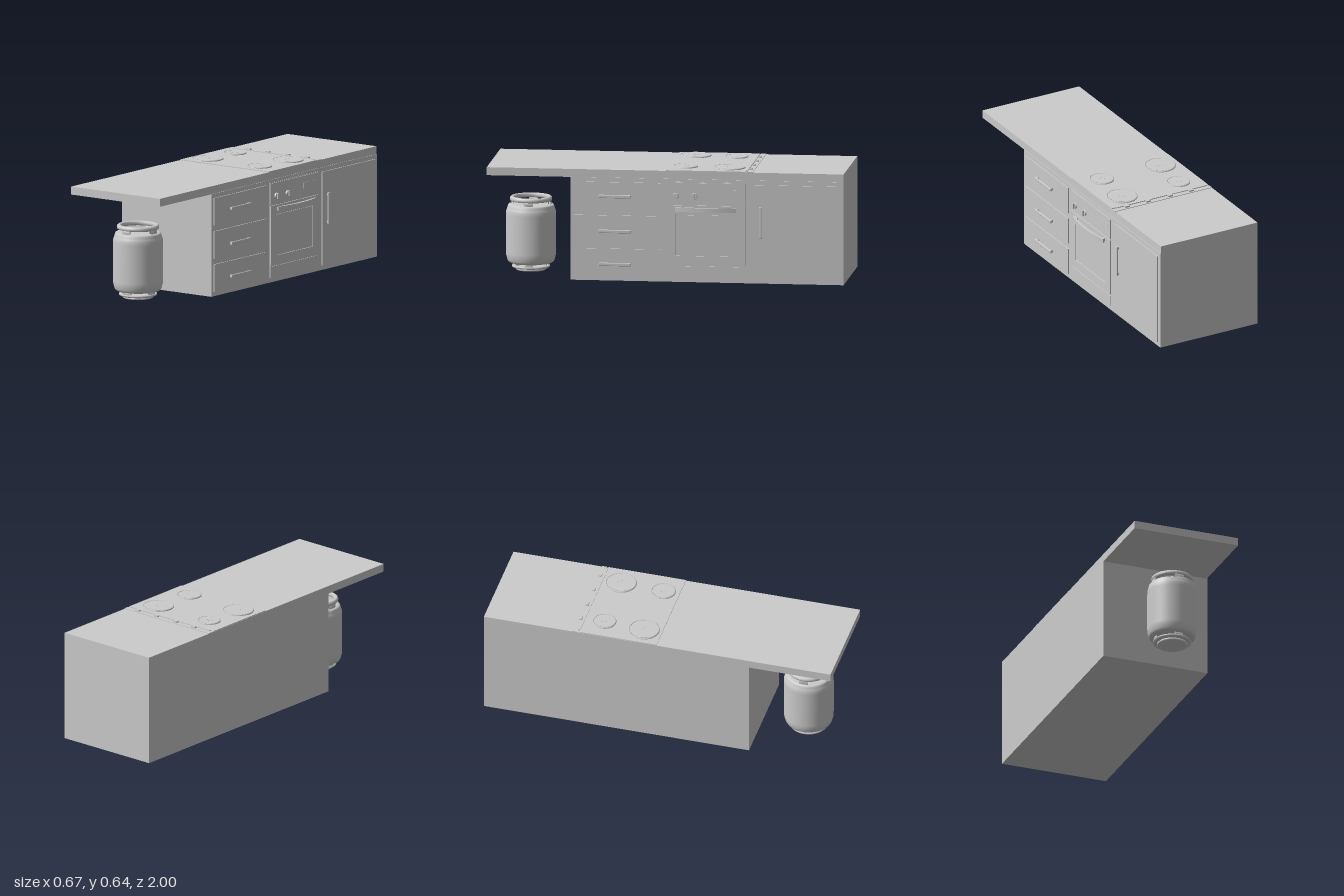
import * as THREE from 'three';
import { RoundedBoxGeometry } from 'three/addons/geometries/RoundedBoxGeometry.js';

const mat = new THREE.MeshStandardMaterial({ color: 0xcccccc, side: THREE.DoubleSide });

function add(parent, name, geo, x = 0, y = 0, z = 0) {
  const m = new THREE.Mesh(geo, mat);
  m.name = name;
  m.position.set(x, y, z);
  parent.add(m);
  return m;
}

// Box given by its limits on each axis
function block(parent, name, x0, x1, y0, y1, z0, z1) {
  return add(parent, name, new THREE.BoxGeometry(x1 - x0, y1 - y0, z1 - z0),
    (x0 + x1) / 2, (y0 + y1) / 2, (z0 + z1) / 2);
}

// Upright picture-frame slab facing +x, limits in z and y with a rectangular hole
function frame(parent, name, x0, x1, y0, y1, z0, z1, b) {
  const rect = (C, d) => {
    const s = new C();
    s.moveTo(-z1 + d, y0 + d);
    s.lineTo(-z0 - d, y0 + d);
    s.lineTo(-z0 - d, y1 - d);
    s.lineTo(-z1 + d, y1 - d);
    s.closePath();
    return s;
  };
  const s = rect(THREE.Shape, 0);
  s.holes.push(rect(THREE.Path, b));
  const g = new THREE.ExtrudeGeometry(s, { depth: x1 - x0, bevelEnabled: false });
  add(parent, name, g, x0).rotation.y = Math.PI / 2;
}

function lathe(parent, name, pts, seg = 48, start = 0, len = Math.PI * 2) {
  return add(parent, name, new THREE.LatheGeometry(pts.map(p => new THREE.Vector2(...p)), seg, start, len));
}

// Straight bar handle on two posts, lying along z or standing along y
function barHandle(parent, name, y, z, length, upright, reach) {
  const g = new THREE.Group();
  g.name = name;
  add(g, 'grip', new RoundedBoxGeometry(0.009, 0.018, length, 2, 0.003), reach - 0.0045);
  for (const s of [-1, 1])
    block(g, 'post', 0, reach - 0.005, -0.007, 0.007, s * (length / 2 - 0.012) - 0.006, s * (length / 2 - 0.012) + 0.006);
  g.position.set(0.292, y, z);
  if (upright) g.rotation.x = Math.PI / 2;
  parent.add(g);
}

function buildCabinet() {
  const g = new THREE.Group();
  g.name = 'cabinet';
  block(g, 'carcass', -0.335, 0.287, 0, 0.58, -1, 0.53);
  block(g, 'countertop', -0.335, 0.284, 0.579, 0.624, -1, 1);
  // Drawers
  [0.094, 0.28, 0.477].forEach((y, i) => {
    const y0 = 0.025 + i * 0.1875;
    block(g, 'drawerFront', 0.285, 0.293, y0, y0 + 0.155, 0.025, 0.51);
    barHandle(g, 'drawerHandle', y, 0.28, 0.18, false, 0.02);
  });
  // Cupboard door
  block(g, 'cupboardDoor', 0.285, 0.293, 0.025, 0.555, -0.975, -0.49);
  barHandle(g, 'doorHandle', 0.345, -0.537, 0.18, true, 0.015);
  return g;
}

function buildOven() {
  const g = new THREE.Group();
  g.name = 'oven';
  block(g, 'ovenBack', 0.284, 0.289, 0.025, 0.565, -0.46, -0.005);
  block(g, 'controlPanel', 0.285, 0.294, 0.44, 0.56, -0.45, -0.01);
  block(g, 'lowerDrawer', 0.285, 0.293, 0.03, 0.09, -0.45, -0.01);
  frame(g, 'ovenDoor', 0.285, 0.295, 0.098, 0.433, -0.45, -0.01, 0.05);
  block(g, 'ovenWindow', 0.285, 0.293, 0.153, 0.378, -0.395, -0.065);
  // Knobs with a raised grip
  for (const z of [-0.06, -0.165]) {
    add(g, 'ovenKnob', new THREE.CylinderGeometry(0.016, 0.018, 0.01, 24), 0.298, 0.485, z).rotation.z = -Math.PI / 2;
    block(g, 'knobGrip', 0.3, 0.311, 0.469, 0.501, z - 0.004, z + 0.004);
  }
  // Display outline
  block(g, 'displayTrim', 0.293, 0.296, 0.518, 0.522, -0.425, -0.31);
  block(g, 'displayTrim', 0.293, 0.296, 0.49, 0.52, -0.314, -0.31);
  // Bowed handle
  const s = new THREE.Shape();
  s.moveTo(0.312, 0.06);
  s.quadraticCurveTo(0.357, 0.23, 0.312, 0.40);
  s.lineTo(0.303, 0.40);
  s.quadraticCurveTo(0.335, 0.23, 0.303, 0.06);
  s.closePath();
  const geo = new THREE.ExtrudeGeometry(s, { depth: 0.025, bevelEnabled: false, curveSegments: 24 });
  add(g, 'ovenHandle', geo, 0, 0.4, 0).rotation.x = -Math.PI / 2;
  for (const z of [-0.08, -0.38]) block(g, 'handlePost', 0.29, 0.313, 0.404, 0.421, z - 0.012, z + 0.012);
  return g;
}

function buildCooktop() {
  const g = new THREE.Group();
  g.name = 'cooktop';
  block(g, 'cookingPlate', -0.333, 0.284, 0.62, 0.628, -0.45, -0.005);
  block(g, 'hingeStrip', -0.335, 0.285, 0.62, 0.627, -0.49, -0.46);
  block(g, 'backRail', -0.313, 0.26, 0.622, 0.631, -0.459, -0.449);
  for (const x of [-0.21, -0.076, 0.064, 0.2]) block(g, 'hinge', x - 0.014, x + 0.014, 0.625, 0.635, -0.48, -0.466);
  // Burners: rim, flat plate and a small mark of three studs
  for (const [x, z, r] of [[-0.205, -0.34, 0.066], [0.16, -0.345, 0.088], [-0.22, -0.108, 0.088], [0.148, -0.098, 0.07]]) {
    const b = new THREE.Group();
    b.name = 'burner';
    add(b, 'plate', new THREE.CylinderGeometry(r - 0.006, r - 0.006, 0.008, 48), 0, 0.63, 0);
    lathe(b, 'rim', [[r, 0.626], [r, 0.632], [r - 0.003, 0.635], [r - 0.007, 0.635], [r - 0.007, 0.626]]);
    for (let i = 0; i < 3; i++) {
      const a = i * Math.PI * 2 / 3;
      add(b, 'stud', new THREE.CylinderGeometry(0.003, 0.003, 0.002, 8), 0.014 * Math.cos(a), 0.6345, 0.014 * Math.sin(a));
    }
    b.position.set(x, 0, z);
    g.add(b);
  }
  return g;
}

function buildGasBottle() {
  const g = new THREE.Group();
  g.name = 'gasBottle';
  // Rounded vessel with a weld lip at each shoulder
  lathe(g, 'vessel', [[0, 0.032], [0.06, 0.034], [0.1, 0.039], [0.118, 0.043], [0.127, 0.048], [0.132, 0.058],
    [0.134, 0.068], [0.138, 0.082], [0.1385, 0.1], [0.1385, 0.315], [0.138, 0.333], [0.134, 0.346],
    [0.13, 0.354], [0.129, 0.364], [0.124, 0.37], [0.112, 0.372], [0.06, 0.374], [0, 0.375]], 64);
  // Carrying collar on top and foot ring below
  lathe(g, 'collarRing', [[0.1, 0.39], [0.112, 0.39], [0.117, 0.394], [0.118, 0.402], [0.116, 0.41],
    [0.11, 0.415], [0.1, 0.415], [0.094, 0.41], [0.093, 0.397], [0.1, 0.39]], 64);
  lathe(g, 'footRing', [[0.085, 0.013], [0.1, 0.014], [0.106, 0.018], [0.107, 0.024], [0.103, 0.028],
    [0.09, 0.028], [0.085, 0.024], [0.085, 0.013]], 64);
  lathe(g, 'foot', [[0, 0.001], [0.08, 0], [0.085, 0.003], [0.085, 0.01], [0.08, 0.015], [0, 0.015]]);
  // Curved supports at the four quarters
  for (let i = 0; i < 4; i++) {
    const a = i * Math.PI / 2;
    lathe(g, 'collarSupport', [[0.1, 0.365], [0.114, 0.365], [0.114, 0.395], [0.1, 0.395], [0.1, 0.365]], 8, a - 0.23, 0.46);
    lathe(g, 'footSupport', [[0.088, 0.02], [0.102, 0.02], [0.104, 0.045], [0.088, 0.045], [0.088, 0.02]], 8, a - 0.24, 0.48);
  }
  // Valve
  add(g, 'valveBase', new THREE.CylinderGeometry(0.025, 0.032, 0.008, 24), 0, 0.377, 0);
  add(g, 'valve', new THREE.CylinderGeometry(0.012, 0.012, 0.018, 20), 0, 0.383, 0);
  g.position.set(-0.027, 0, 0.79);
  return g;
}

export function createModel() {
  const model = new THREE.Group();
  model.name = 'kitchenUnit';
  model.add(buildCabinet(), buildOven(), buildCooktop(), buildGasBottle());
  return model;
}
